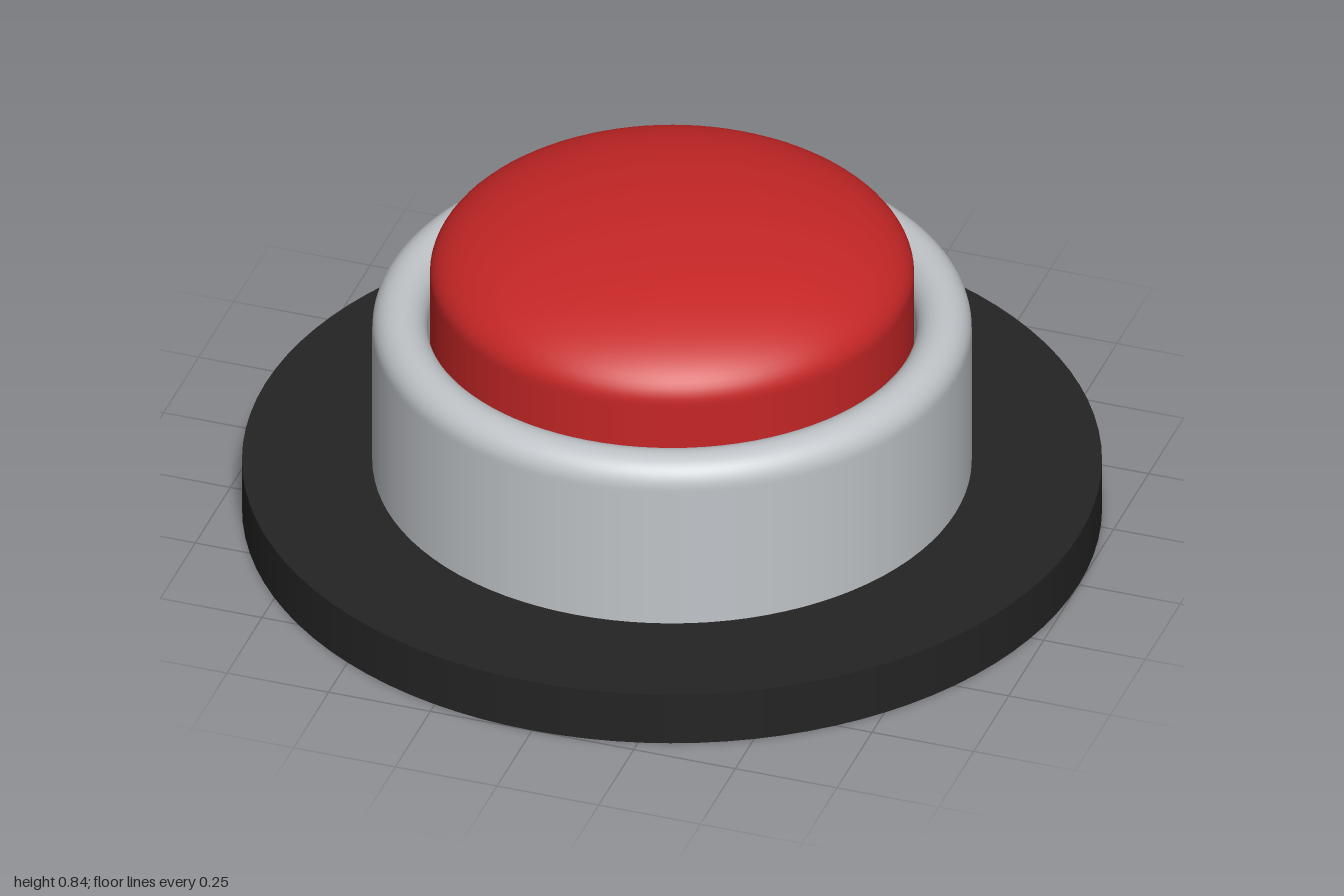
import * as THREE from 'three';

const SEGMENTS = 96;

function material(name, color) {
  const m = new THREE.MeshStandardMaterial({ color });
  m.name = name;
  return m;
}

// Points along an elliptical arc, angles in degrees
function arc(cx, cy, rx, ry, from, to, steps) {
  return Array.from({ length: steps + 1 }, (_, i) => {
    const a = THREE.MathUtils.degToRad(from + ((to - from) * i) / steps);
    return new THREE.Vector2(Math.max(0, cx + rx * Math.cos(a)), cy + ry * Math.sin(a));
  });
}

export function createModel() {
  const model = new THREE.Group();
  model.name = 'pushButton';

  const black = material('black', 0x242424);
  const grey = material('lightGrey', 0xc0c4c8);
  const red = material('red', 0xc62626);

  const add = (name, geometry, mat) => {
    const mesh = new THREE.Mesh(geometry, mat);
    mesh.name = name;
    model.add(mesh);
    return mesh;
  };

  // Flat mounting disc
  const baseHeight = 0.135;
  const base = add('basePlate', new THREE.CylinderGeometry(1, 1, baseHeight, SEGMENTS), black);
  base.position.y = baseHeight / 2;

  // Collar with a rounded rim and an open bore
  const outer = 0.697, fillet = 0.064, top = 0.568;
  const rimY = top - fillet;
  const collar = [
    new THREE.Vector2(outer, baseHeight),
    new THREE.Vector2(outer, rimY - 0.01),
    ...arc(outer - fillet, rimY, fillet, fillet, 0, 180, 20),
    new THREE.Vector2(outer - 2 * fillet, rimY - 0.01),
    new THREE.Vector2(outer - 2 * fillet, baseHeight),
  ];
  add('collar', new THREE.LatheGeometry(collar, SEGMENTS), grey);

  // Button cap: straight side below a shallow dome
  const capRadius = 0.563, domeY = 0.655;
  const cap = [
    new THREE.Vector2(capRadius, 0.4),
    new THREE.Vector2(capRadius, domeY - 0.01),
    ...arc(0, domeY, capRadius, 0.182, 0, 90, 24),
  ];
  add('buttonCap', new THREE.LatheGeometry(cap, SEGMENTS), red);

  return model;
}
